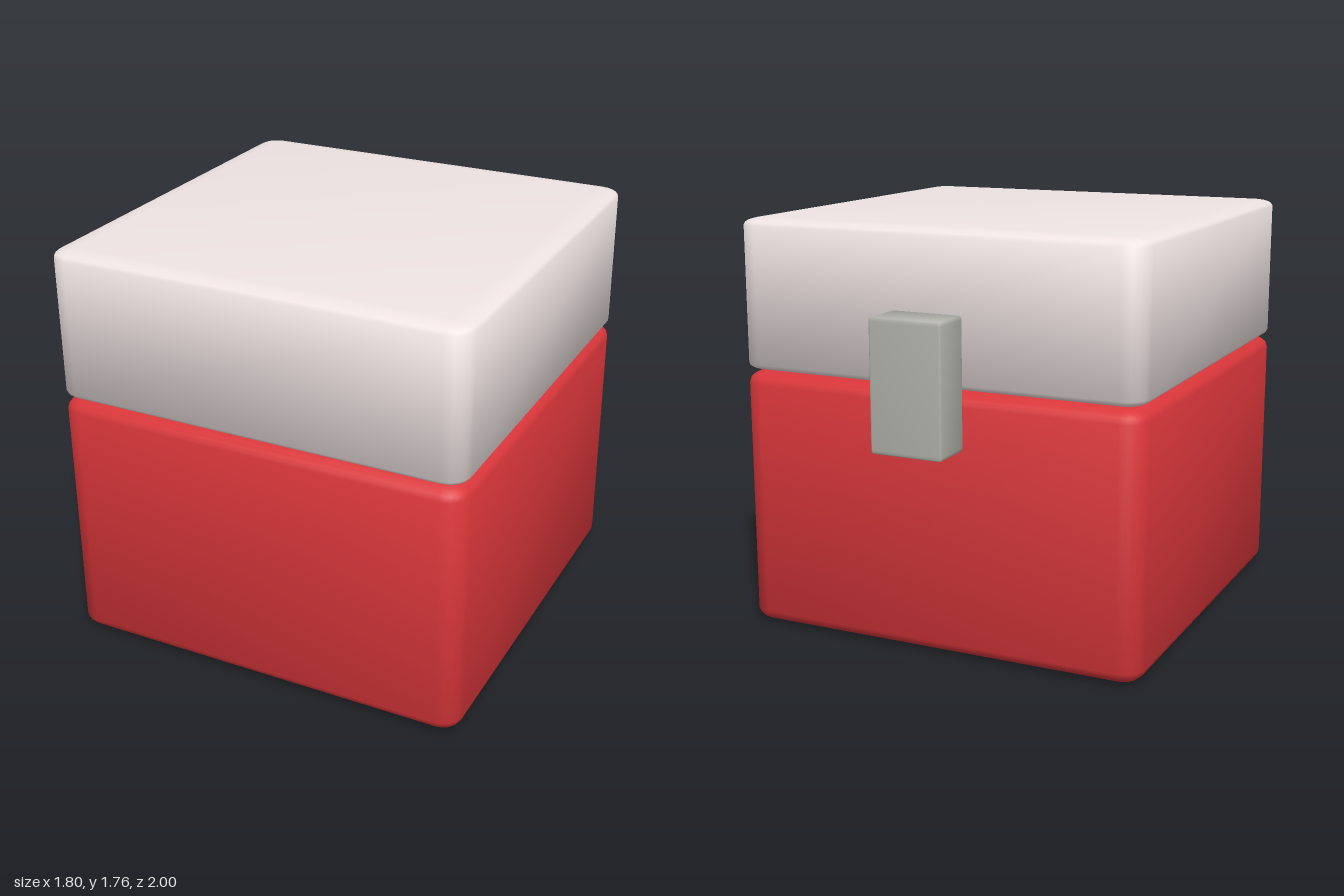
import * as THREE from 'three';
import { RoundedBoxGeometry } from 'three/addons/geometries/RoundedBoxGeometry.js';

// Bevelled unit cube stretched to the given bounds, with softly blended normals
function bevelledBlock(name, color, min, max, bevel) {
  const geometry = new RoundedBoxGeometry(1, 1, 1, 2, bevel);
  const { position, normal } = geometry.attributes;
  const core = 0.5 - bevel * 1.2;
  const p = new THREE.Vector3();
  const inner = new THREE.Vector3();
  for (let i = 0; i < position.count; i++) {
    p.fromBufferAttribute(position, i);
    inner.copy(p).clampScalar(-core, core);
    p.sub(inner).normalize();
    normal.setXYZ(i, p.x, p.y, p.z);
  }
  const low = new THREE.Vector3(...min);
  const high = new THREE.Vector3(...max);
  const size = high.clone().sub(low);
  const centre = low.add(high).multiplyScalar(0.5);
  geometry.scale(size.x, size.y, size.z);
  geometry.translate(centre.x, centre.y, centre.z);

  const mesh = new THREE.Mesh(geometry, new THREE.MeshStandardMaterial({ color }));
  mesh.name = name;
  return mesh;
}

export function createModel() {
  const group = new THREE.Group();
  group.name = 'lidded box';
  group.add(
    // Red lower container
    bevelledBlock('body', 0xd9363a, [-0.9, 0, -0.8], [0.9, 1.12, 1], 0.05),
    // Pale lid resting on it
    bevelledBlock('lid', 0xefe4e3, [-0.9, 1.12, -0.8], [0.9, 1.765, 1], 0.05),
    // Grey clasp standing just off the back, across the seam
    bevelledBlock('clasp', 0xb3b3ac, [-0.158, 0.89, -1], [0.155, 1.435, -0.815], 0.03),
  );
  return group;
}
